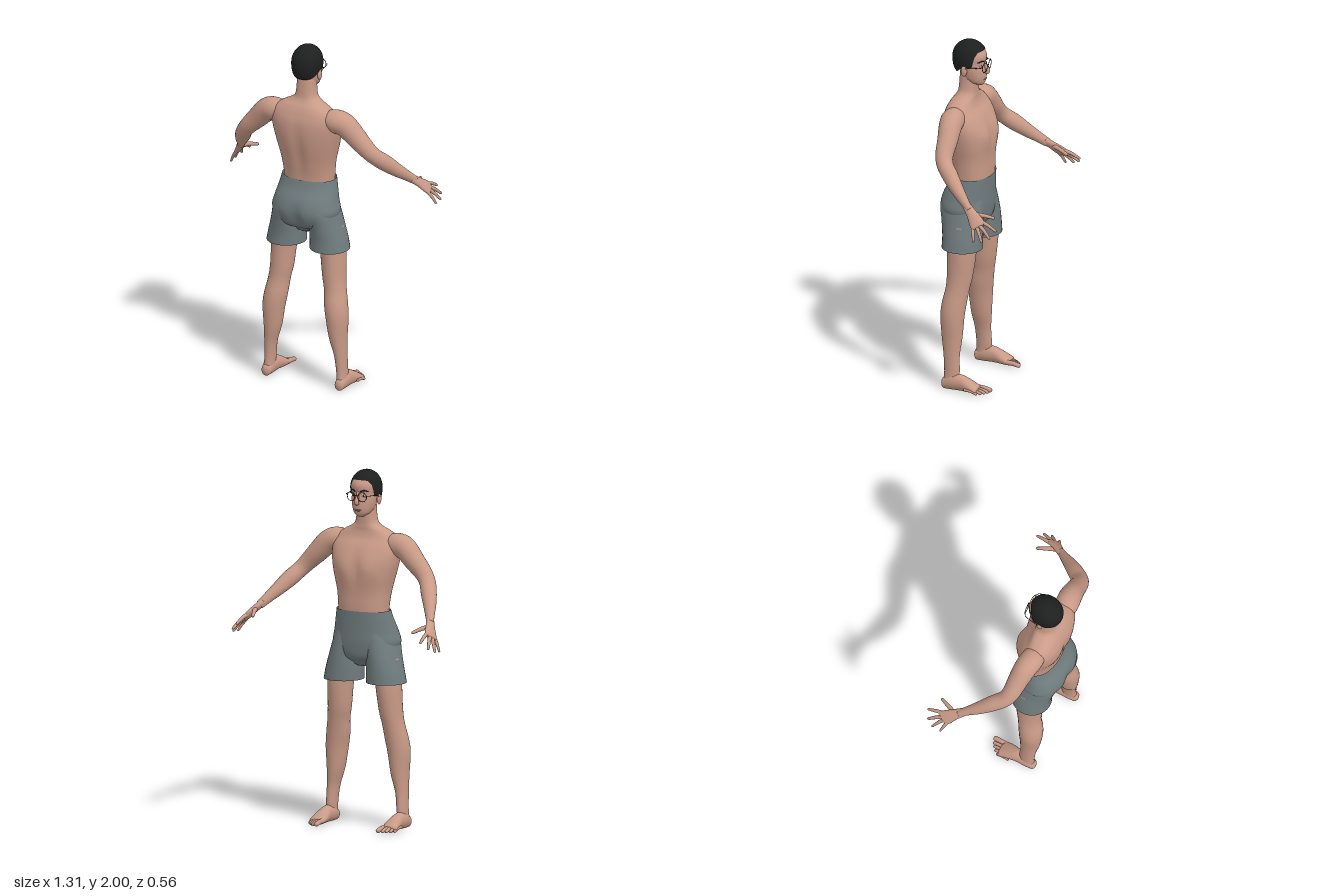
import * as THREE from 'three';

const material = (name, color, side = THREE.FrontSide) => {
  const m = new THREE.MeshStandardMaterial({ color, side });
  m.name = name;
  return m;
};

// Closed-ring grid with smooth shared normals
function gridGeometry(rows) {
  const n = rows[0].length, pos = [], index = [];
  rows.forEach(r => r.forEach(p => pos.push(p.x, p.y, p.z)));
  for (let i = 0; i < rows.length - 1; i++) for (let j = 0; j < n; j++) {
    const a = i * n + j, b = i * n + (j + 1) % n;
    index.push(a, b, a + n, b, b + n, a + n);
  }
  const g = new THREE.BufferGeometry();
  g.setAttribute('position', new THREE.Float32BufferAttribute(pos, 3));
  g.setIndex(index);
  g.computeVertexNormals();
  return g;
}

// Elliptical sections [x, y, z, radiusU, radiusV] lofted along a smooth path.
// axis fixes the section plane; start/end are rounding amounts, null leaves that end open.
function loft(pts, { side = [1, 0, 0], axis = null, start = 0.5, end = 0.5, sides = 20, steps = 5, power = 2, rule = null } = {}) {
  const curve = f => new THREE.CatmullRomCurve3(pts.map(f), false, 'catmullrom', 0.5);
  const path = curve(p => new THREE.Vector3(p[0], p[1], p[2]));
  const radii = curve(p => new THREE.Vector3(p[3], p[4], 0));
  const rows = [], total = (pts.length - 1) * steps;
  const ring = (t, scale, shift) => {
    const c = path.getPoint(t), r = radii.getPoint(t);
    const d = axis ? new THREE.Vector3(...axis) : path.getTangent(t);
    const u = new THREE.Vector3(...side);
    u.addScaledVector(d, -u.dot(d)).normalize();
    const v = new THREE.Vector3().crossVectors(d, u);
    c.addScaledVector(d, shift * Math.min(r.x, r.y));
    const row = [];
    for (let j = 0; j < sides; j++) {
      const a = j / sides * Math.PI * 2, e = 2 / power;
      const cu = Math.sign(Math.cos(a)) * Math.abs(Math.cos(a)) ** e;
      const cv = Math.sign(Math.sin(a)) * Math.abs(Math.sin(a)) ** e;
      const p = c.clone().addScaledVector(u, cu * r.x * scale).addScaledVector(v, cv * r.y * scale);
      if (rule) rule(p, c);
      row.push(p);
    }
    rows.push(row);
  };
  const cap = [1, 0.75, 0.5, 0.25].map(k => k * Math.PI / 2);
  if (start !== null) cap.forEach(a => ring(0, Math.cos(a), -Math.sin(a) * start));
  for (let i = 0; i <= total; i++) ring(i / total, 1, 0);
  if (end !== null) cap.reverse().forEach(a => ring(1, Math.cos(a), Math.sin(a) * end));
  return gridGeometry(rows);
}

function mirrored(geometry) {
  const g = geometry.clone().scale(-1, 1, 1), ix = g.index.array;
  for (let i = 0; i < ix.length; i += 3) [ix[i], ix[i + 1]] = [ix[i + 1], ix[i]];
  g.computeVertexNormals();
  return g;
}

const ball = (x, y, z, a, b, c) => new THREE.SphereGeometry(1, 20, 14).scale(a, b, c).translate(x, y, z);
const wire = (pts, r) => new THREE.TubeGeometry(
  new THREE.CatmullRomCurve3(pts.map(p => new THREE.Vector3(...p))), 16, r, 6);

export function createModel() {
  const model = new THREE.Group();
  model.name = 'standingFigure';
  const skin = material('skin', 0xc99a87);
  const cloth = material('shortsCloth', 0x707c7e, THREE.DoubleSide);
  const hairMat = material('hair', 0x1e1f1f, THREE.DoubleSide);
  const frame = material('glassesFrame', 0x2b2724);
  const eyeWhite = material('eyeWhite', 0xd8d2cc);
  const iris = material('iris', 0x35251d);
  const lip = material('lips', 0xb27c6d);

  const add = (name, geometry, mat) => {
    const m = new THREE.Mesh(geometry, mat);
    m.name = name;
    model.add(m);
  };
  const pair = (name, geometry, mat) => {
    add(name + 'Left', geometry, mat);
    add(name + 'Right', mirrored(geometry), mat);
  };
  const up = [0, 1, 0];
  const bell = (v, mid, width) => Math.exp(-(((v - mid) / width) ** 2));

  // Torso and neck, with a spine groove and a dip between the chest muscles
  add('torso', loft([
    [0, 1.12, .11, .14, .095], [0, 1.22, .105, .147, .103], [0, 1.32, .113, .158, .112],
    [0, 1.42, .12, .182, .128], [0, 1.5, .13, .2, .128], [0, 1.57, .145, .208, .11],
    [0, 1.62, .155, .19, .085], [0, 1.655, .153, .145, .07], [0, 1.68, .145, .095, .06],
    [0, 1.705, .14, .066, .054], [0, 1.75, .137, .057, .052], [0, 1.81, .135, .055, .05],
  ], { axis: up, sides: 56, power: 2.3, rule: (p, c) => {
    const mid = bell(p.x, 0, .03);
    if (p.z > c.z) p.z -= .013 * mid * bell(p.y, 1.42, .16);
    else p.z += .014 * mid * bell(p.y, 1.47, .09) - .006 * bell(Math.abs(p.x), .08, .05) * bell(p.y, 1.46, .05);
  } }), skin);

  // Shorts: seat plus two open legs
  add('shortsSeat', loft([
    [0, .925, .125, .06, .08], [0, .96, .135, .15, .122], [0, 1.03, .142, .198, .139],
    [0, 1.1, .135, .186, .134], [0, 1.17, .115, .17, .116], [0, 1.22, .105, .16, .108],
  ], { axis: up, sides: 56, end: null, power: 2.2, rule: (p, c) => {
    if (p.z > c.z) p.z -= .018 * bell(p.x, 0, .035) * bell(p.y, 1.0, .08);
  } }), cloth);
  pair('shortsLeg', loft([
    [.137, .815, .12, .112, .115], [.13, .88, .12, .105, .115], [.119, .96, .126, .093, .12],
    [.1, 1.05, .137, .088, .124], [.085, 1.13, .128, .07, .105],
  ], { axis: up, sides: 32, start: null }), cloth);

  // Legs
  pair('leg', loft([
    [.232, .04, .15, .03, .042], [.228, .1, .143, .029, .045], [.221, .2, .148, .034, .047],
    [.207, .3, .151, .049, .059], [.2, .42, .152, .063, .068], [.189, .5, .145, .066, .07],
    [.177, .58, .131, .062, .068], [.165, .66, .122, .065, .074], [.155, .8, .115, .07, .084],
    [.14, .95, .12, .075, .09],
  ], { axis: up, sides: 28 }), skin);

  // Feet and toes, flattened at the ground
  const ground = p => { p.y = Math.max(p.y, 0); };
  pair('foot', loft([
    [.232, .033, .185, .027, .034], [.232, .046, .145, .034, .047], [.232, .046, .085, .036, .046],
    [.232, .033, .03, .045, .034], [.234, .02, -.012, .047, .021],
  ], { axis: [0, 0, -1], start: .65, rule: ground, sides: 28 }), skin);
  [[.2, -.075, .014], [.224, -.068, .01], [.242, -.056, .0095], [.259, -.04, .009], [.274, -.02, .0085]]
    .forEach(([x, z, r], i) => pair('toe' + (i + 1), loft([
      [x, .022, z + .07, r, r], [x, .021, z + .035, r * .9, r], [x, r, z, r, r * .9],
    ], { rule: ground, end: .9, sides: 12 }), skin));

  // Arms
  pair('arm', loft([
    [.13, 1.59, .157, .05, .055], [.19, 1.588, .153, .066, .066], [.245, 1.572, .145, .066, .064],
    [.31, 1.51, .135, .059, .057], [.37, 1.45, .128, .05, .05], [.41, 1.405, .107, .045, .046],
    [.45, 1.355, .055, .046, .044], [.49, 1.302, -.002, .038, .036], [.525, 1.255, -.058, .029, .026],
    [.55, 1.222, -.097, .025, .02],
  ], { side: [.3, 1, 0], sides: 28 }), skin);

  // Hands: flat palm, four fingers and a thumb
  pair('palm', loft([
    [.542, 1.232, -.085, .025, .02], [.566, 1.202, -.122, .031, .018],
    [.588, 1.172, -.155, .041, .016], [.604, 1.152, -.176, .041, .012],
  ], { side: [.03, -.04, .06] }), skin);
  const digits = [
    ['indexFinger', [.583, 1.172, -.19], [.593, 1.138, -.273], .0098],
    ['middleFinger', [.6, 1.154, -.185], [.631, 1.105, -.252], .0098],
    ['ringFinger', [.61, 1.142, -.172], [.65, 1.085, -.214], .0093],
    ['littleFinger', [.616, 1.132, -.148], [.649, 1.079, -.165], .0083],
    ['thumb', [.56, 1.2, -.13], [.517, 1.181, -.229], .0115],
  ];
  digits.forEach(([name, a, b, r]) => {
    const at = (k, lift) => [0, 1, 2].map(i => a[i] + (b[i] - a[i]) * k + (i === 1 ? lift : 0));
    pair(name, loft([
      [...at(-.25, 0), r * 1.2, r * 1.2], [...at(.1, .003), r * 1.15, r * 1.15],
      [...at(.5, .005), r, r], [...at(1, 0), r * .75, r * .75],
    ], { side: [1, 0, .4], end: 1, sides: 12 }), skin);
  });

  // Head, nose, ears and lips
  add('head', loft([
    [0, 1.748, .077, .022, .025], [0, 1.762, .088, .044, .046], [0, 1.79, .105, .06, .069],
    [0, 1.83, .114, .07, .077], [0, 1.87, .125, .075, .083], [0, 1.92, .126, .077, .09],
    [0, 1.96, .127, .062, .067], [0, 1.983, .128, .037, .04],
  ], { axis: up, sides: 40, start: .3, end: .15 }), skin);
  add('nose', loft([
    [0, 1.885, .045, .008, .008], [0, 1.855, .034, .009, .011],
    [0, 1.83, .024, .013, .012], [0, 1.818, .03, .014, .01],
  ], { end: .5, sides: 16 }), skin);
  pair('ear', ball(.08, 1.838, .135, .011, .03, .018).rotateZ(0), skin);
  add('mouth', ball(0, 1.782, .041, .021, .006, .008), lip);

  // Eyes and brows
  pair('eye', ball(.033, 1.864, .052, .013, .006, .006), eyeWhite);
  pair('iris', ball(.033, 1.864, .0485, .0055, .0055, .004), iris);
  pair('brow', wire([[.017, 1.888, .039], [.035, 1.894, .045], [.054, 1.888, .064]], .0035), hairMat);

  // Short hair: a dome whose lower edge follows the hairline
  const hairline = [[0, 1.952], [.7, 1.948], [1.0, 1.92], [1.12, 1.862], [1.4, 1.86], [1.6, 1.872], [1.95, 1.84], [2.3, 1.822], [3.15, 1.818]];
  const edgeY = a => {
    const i = Math.max(1, hairline.findIndex(h => h[0] >= a));
    const [a0, y0] = hairline[i - 1], [a1, y1] = hairline[i];
    return y0 + (y1 - y0) * (a - a0) / (a1 - a0);
  };
  const hairRows = [];
  for (let i = 0; i <= 18; i++) {
    const row = [];
    for (let j = 0; j < 72; j++) {
      const a = j / 72 * Math.PI * 2;
      const edge = Math.acos((edgeY(Math.min(a, Math.PI * 2 - a)) - 1.9) / .1);
      const phi = edge * (1 - i / 18);
      const r = phi > Math.PI / 2 ? Math.sin(phi) ** .42 : Math.sin(phi);
      row.push(new THREE.Vector3(-.086 * r * Math.sin(a), 1.9 + .1 * Math.cos(phi), .132 - .1 * r * Math.cos(a)));
    }
    hairRows.push(row);
  }
  add('hair', gridGeometry(hairRows), hairMat);

  // Round glasses
  pair('glassesRim', new THREE.TorusGeometry(.026, .0018, 6, 32).rotateY(-.15).translate(.036, 1.86, .027), frame);
  add('glassesBridge', wire([[-.011, 1.865, .024], [0, 1.869, .02], [.011, 1.865, .024]], .0018), frame);
  pair('glassesTemple', wire([[.061, 1.866, .031], [.077, 1.868, .045], [.084, 1.865, .09], [.086, 1.852, .14]], .0018), frame);

  return model;
}
